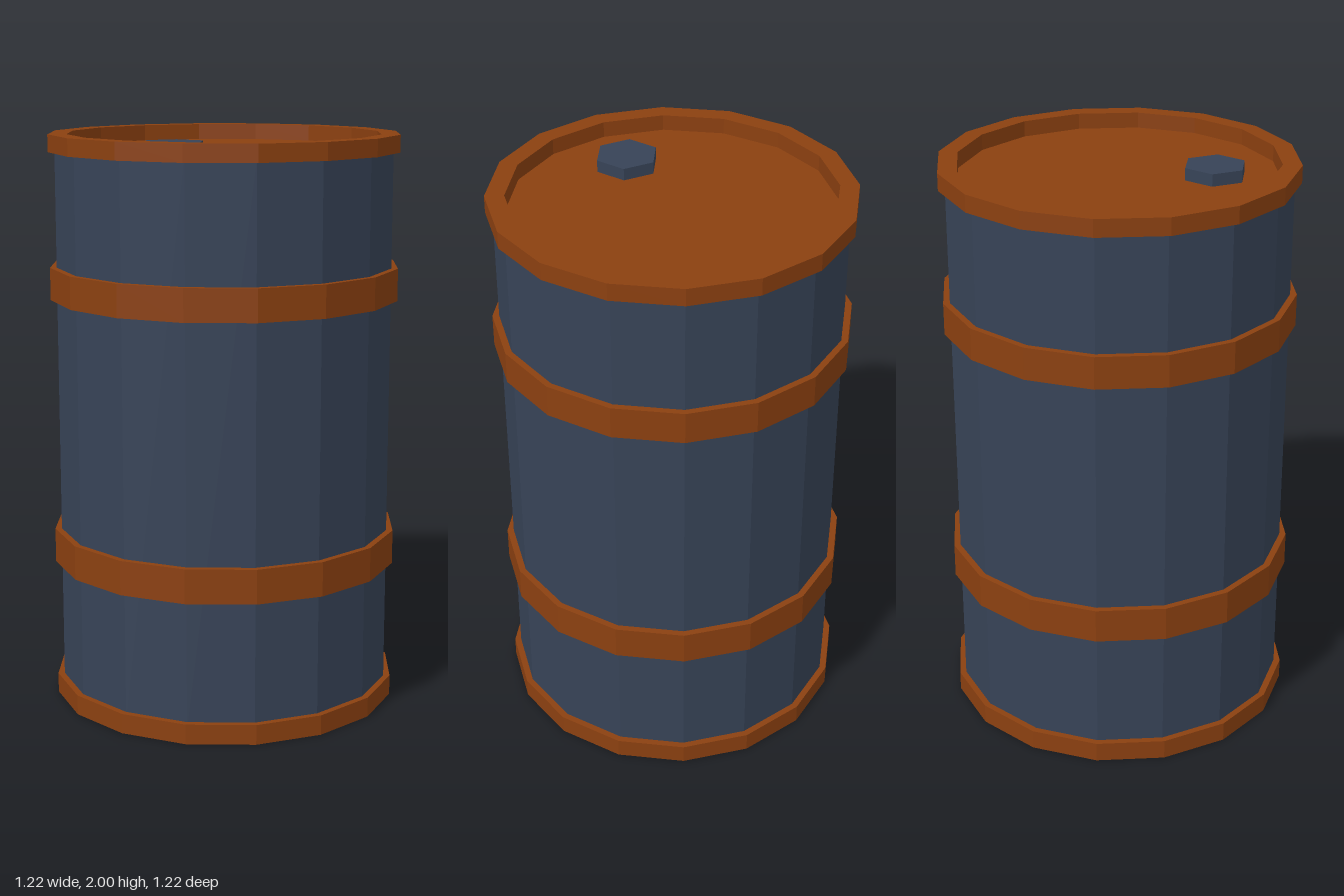
import * as THREE from 'three';

const SIDES = 16;
const BODY_R = 0.587, BAND_R = 0.61, LIP_R = 0.545;

export function createModel() {
  const model = new THREE.Group();
  model.name = 'barrel';
  const steel = new THREE.MeshStandardMaterial({ color: 0x374357, flatShading: true });
  const rust = new THREE.MeshStandardMaterial({ color: 0x8b4010, flatShading: true });

  const add = (name, geometry, material, x = 0, y = 0, z = 0) => {
    const mesh = new THREE.Mesh(geometry, material);
    mesh.name = name;
    mesh.position.set(x, y, z);
    model.add(mesh);
    return mesh;
  };
  const lathe = (points) =>
    new THREE.LatheGeometry(points.map(([r, y]) => new THREE.Vector2(r, y)), SIDES);

  // Rim with a recessed lid; its outer lip is at y = 0 and it hangs below
  const endCap = (height, recess) => lathe([
    [BODY_R - 0.01, -height], [BAND_R, -height], [BAND_R, 0],
    [LIP_R, 0], [LIP_R, -recess], [0, -recess],
  ]);

  // Drum wall
  add('body', new THREE.CylinderGeometry(BODY_R, BODY_R, 1.92, SIDES, 1, true), steel, 0, 1, 0);

  // Top and bottom rims with lids
  add('topRim', endCap(0.06, 0.055), rust, 0, 2, 0);
  add('bottomRim', endCap(0.07, 0.04), rust).rotation.x = Math.PI;

  // Hoops around the wall
  for (const [name, low, high] of [['lowerHoop', 0.493, 0.613], ['upperHoop', 1.433, 1.545]]) {
    add(name, lathe([
      [BODY_R - 0.01, low], [BAND_R, low], [BAND_R, high], [BODY_R - 0.01, high],
    ]), rust);
  }

  // Hexagonal plug on the lid
  const plug = new THREE.CylinderGeometry(0.109, 0.109, 0.05, 6);
  plug.rotateY(Math.PI / 6);
  add('plug', plug, steel, 0.017, 1.962, 0.32);

  return model;
}
